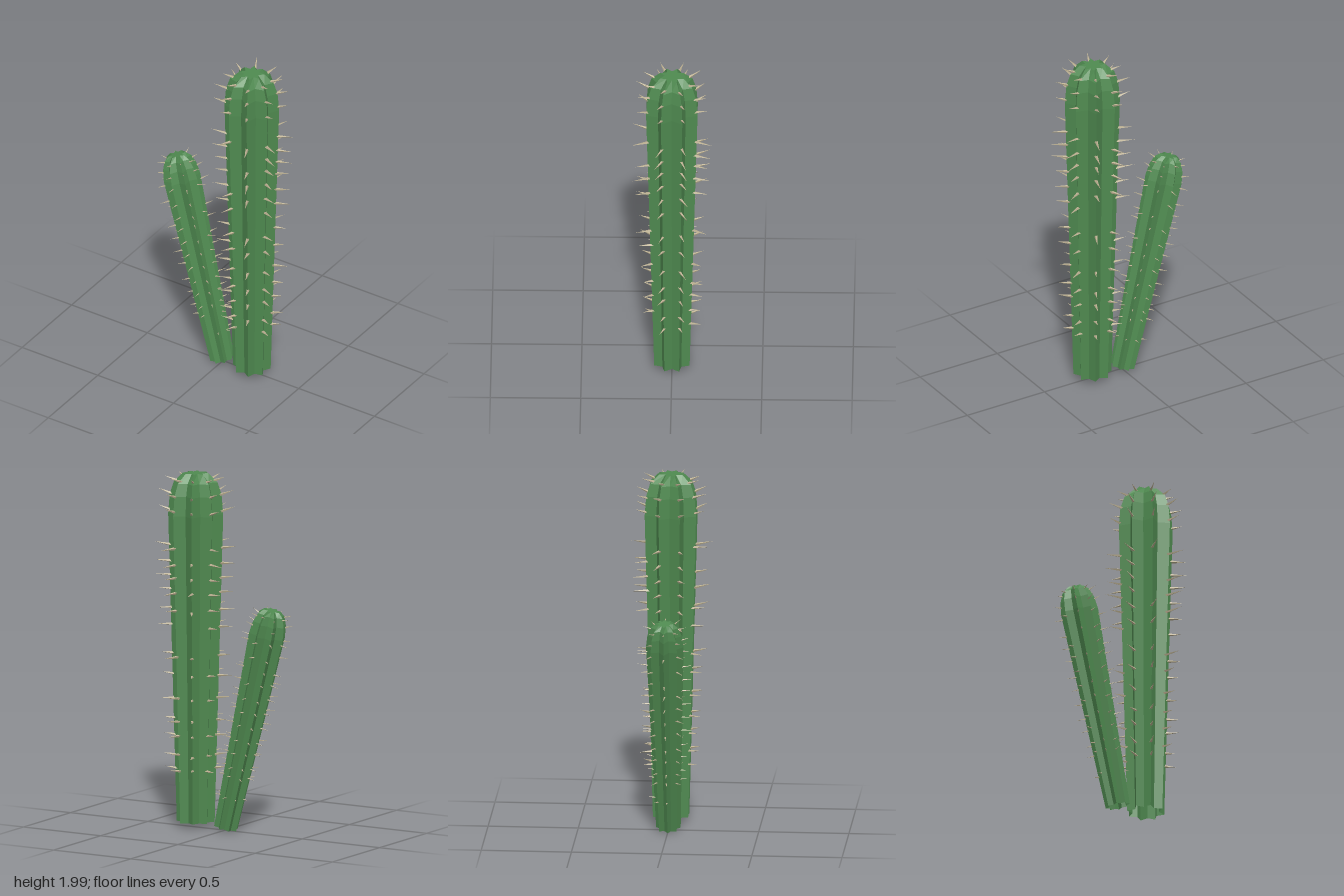
import * as THREE from 'three';
import { mergeGeometries } from 'three/addons/utils/BufferGeometryUtils.js';

const RIBS = 8;
const green = new THREE.MeshStandardMaterial({ color: 0x4f8a50, flatShading: true, side: THREE.DoubleSide });
const beige = new THREE.MeshStandardMaterial({ color: 0xbfb394, flatShading: true });

// small seeded generator for the irregular spines
function seeded(seed) {
  let s = seed;
  return () => (s = (s * 16807) % 2147483647) / 2147483647;
}

// ribbed skin: star-shaped rings stacked along a [height, rib radius] profile,
// open at the bottom and closed by a flat star at the top
function stemGeometry(profile, turn) {
  const n = RIBS * 2, pos = [], idx = [];
  profile.forEach(([y, r], k) => {
    const valley = k === profile.length - 1 ? 0.6 : 0.7;
    for (let i = 0; i < n; i++) {
      const a = turn + (i / n) * Math.PI * 2;
      const q = i % 2 ? r * valley : r;
      pos.push(q * Math.sin(a), y, q * Math.cos(a));
    }
  });
  const rings = profile.length;
  for (let k = 0; k < rings - 1; k++) {
    for (let i = 0; i < n; i++) {
      const a = k * n + i, b = k * n + (i + 1) % n;
      idx.push(a, b, b + n, a, b + n, a + n);
    }
  }
  const last = (rings - 1) * n;
  pos.push(0, profile[rings - 1][0], 0);
  for (let i = 0; i < n; i++) idx.push(last + i, last + (i + 1) % n, rings * n);
  const g = new THREE.BufferGeometry();
  g.setAttribute('position', new THREE.Float32BufferAttribute(pos, 3));
  g.setIndex(idx);
  g.computeVertexNormals();
  return g;
}

// rib radius at a given height
function radiusAt(profile, y) {
  for (let k = 1; k < profile.length; k++) {
    const [y0, r0] = profile[k - 1], [y1, r1] = profile[k];
    if (y <= y1) return r0 + (r1 - r0) * (y - y0) / (y1 - y0);
  }
  return profile[profile.length - 1][1];
}

// one thin cone per rib and height, pointing outward, merged together
function spineGeometry(profile, turn, heights, size, seed) {
  const rnd = seeded(seed), up = new THREE.Vector3(0, 1, 0), parts = [];
  const shoulder = profile[1][0];
  for (let i = 0; i < RIBS; i++) {
    const a = turn + (i / RIBS) * Math.PI * 2;
    for (const h of heights) {
      const skip = rnd() < 0.1;
      const y = h + (rnd() - 0.5) * 0.015;
      const jitter = (rnd() - 0.5) * 0.25;
      const r = radiusAt(profile, y);
      const grow = 0.55 + 0.45 * Math.min(1, y / (shoulder * 0.7));
      const len = size * grow * (0.8 + rnd() * 0.35) * (y > shoulder ? 0.8 : 1);
      if (skip) continue;
      const lift = y > shoulder ? 0.35 : 0.06 + (rnd() - 0.5) * 0.2;
      const dir = new THREE.Vector3(Math.sin(a + jitter), lift, Math.cos(a + jitter)).normalize();
      const g = new THREE.ConeGeometry(size * 0.11, len + 0.015, 4, 1, true);
      g.translate(0, (len + 0.015) / 2 - 0.015, 0);
      g.applyQuaternion(new THREE.Quaternion().setFromUnitVectors(up, dir));
      g.translate(r * Math.sin(a), y, r * Math.cos(a));
      parts.push(g);
    }
  }
  return mergeGeometries(parts);
}

function makeCactus(name, { profile, turn, heights, size, seed }) {
  const group = new THREE.Group();
  group.name = name;
  const stem = new THREE.Mesh(stemGeometry(profile, turn), green);
  stem.name = name + 'Stem';
  const spines = new THREE.Mesh(spineGeometry(profile, turn, heights, size, seed), beige);
  spines.name = name + 'Spines';
  group.add(stem, spines);
  return group;
}

export function createModel() {
  const model = new THREE.Group();
  model.name = 'cactus';

  // tall upright column
  const tall = makeCactus('tallColumn', {
    profile: [[0, 0.106], [1.73, 0.154], [1.84, 0.145], [1.91, 0.122], [1.96, 0.07]],
    turn: Math.PI / 8,
    heights: [0.3, 0.38, 0.49, 0.58, 0.7, 0.83, 0.94, 1.1, 1.2, 1.3, 1.38, 1.46, 1.55, 1.75, 1.84, 1.92],
    size: 0.085,
    seed: 11,
  });
  tall.position.set(0.19, 0.04, 0);

  // shorter column leaning away
  const short = makeCactus('leaningColumn', {
    profile: [[0, 0.068], [1.14, 0.104], [1.21, 0.095], [1.26, 0.076], [1.285, 0.048]],
    turn: 0,
    heights: [0.19, 0.31, 0.37, 0.45, 0.53, 0.62, 0.7, 0.78, 0.87, 0.94, 1.02, 1.11, 1.19, 1.25],
    size: 0.05,
    seed: 29,
  });
  short.position.set(-0.005, 0.024, 0);
  short.rotation.z = THREE.MathUtils.degToRad(13.5);

  model.add(tall, short);
  return model;
}
